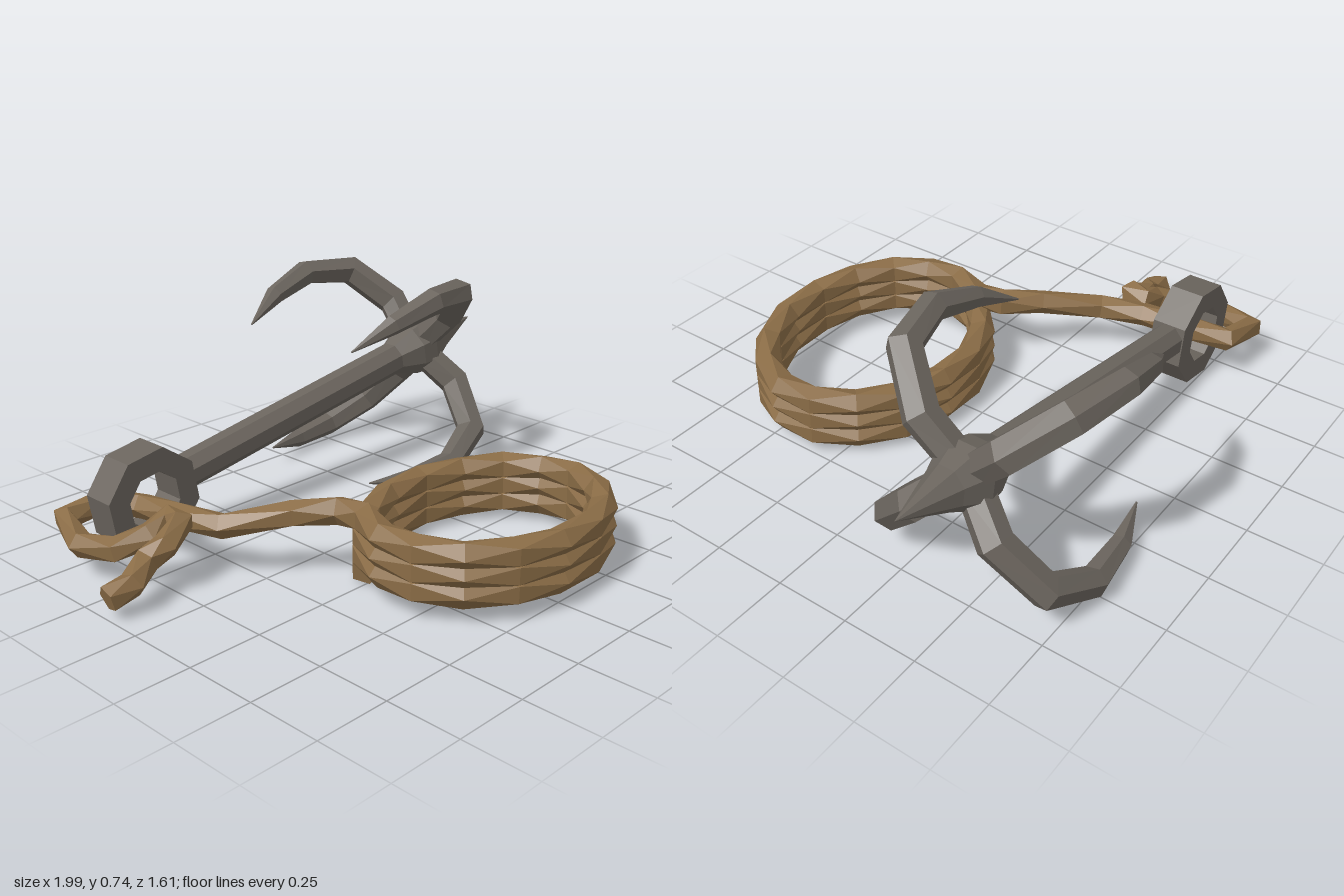
import * as THREE from 'three';

const V = (x, y, z = 0) => new THREE.Vector3(x, y, z);

// Faceted normals
function flat(geometry) {
  const g = geometry.index ? geometry.toNonIndexed() : geometry;
  g.computeVertexNormals();
  return g;
}

// Polygonal tube through the points; every section can be turned by a twist
function loft(points, radii, sides, up, twist = 0) {
  const rings = points.map((p, i) => {
    const a = points[Math.max(i - 1, 0)], c = points[Math.min(i + 1, points.length - 1)];
    const t = c.clone().sub(p).normalize().add(p.clone().sub(a).normalize()).normalize();
    const n = up.clone().cross(t).normalize();
    const b = t.clone().cross(n);
    return Array.from({ length: sides }, (_, j) => {
      const w = (j / sides) * Math.PI * 2 + i * twist;
      return p.clone().addScaledVector(n, Math.cos(w) * radii(i)).addScaledVector(b, Math.sin(w) * radii(i));
    });
  });
  const verts = [];
  const tri = (...corners) => corners.forEach((v) => verts.push(v.x, v.y, v.z));
  const last = rings.length - 1;
  for (let j = 0; j < sides; j++) {
    const k = (j + 1) % sides;
    for (let i = 0; i < last; i++) {
      tri(rings[i][j], rings[i][k], rings[i + 1][j]);
      tri(rings[i][k], rings[i + 1][k], rings[i + 1][j]);
    }
    tri(points[0], rings[0][k], rings[0][j]);
    tri(points[last], rings[last][j], rings[last][k]);
  }
  const g = new THREE.BufferGeometry();
  g.setAttribute('position', new THREE.Float32BufferAttribute(verts, 3));
  return flat(g);
}

function octagon(Type, radius) {
  return new Type(Array.from({ length: 8 }, (_, i) => {
    const a = ((i + 0.5) / 8) * Math.PI * 2;
    return new THREE.Vector2(Math.cos(a) * radius, Math.sin(a) * radius);
  }));
}

export function createModel() {
  const iron = new THREE.MeshStandardMaterial({ color: 0x6b655e });
  iron.name = 'iron';
  const hemp = new THREE.MeshStandardMaterial({ color: 0x8a6c46 });
  hemp.name = 'hemp';

  const model = new THREE.Group();
  model.name = 'grapplingHook';
  const add = (parent, name, geometry, material) => {
    const mesh = new THREE.Mesh(geometry, material);
    mesh.name = name;
    parent.add(mesh);
    return mesh;
  };

  // Iron hook, built along local x and then leaned
  const hook = new THREE.Group();
  hook.name = 'hook';
  hook.position.set(0.69, 0.415, -0.443);
  hook.rotation.z = 0.168;
  model.add(hook);

  // Shaft, hub and spike
  const profile = [[0, -1.2], [0.06, -1.2], [0.061, -0.15], [0.098, -0.06], [0.108, 0], [0.07, 0.09], [0, 0.303]];
  const shaft = new THREE.LatheGeometry(profile.map((p) => new THREE.Vector2(...p)), 8, Math.PI / 8);
  shaft.rotateZ(-Math.PI / 2);
  add(hook, 'shaftAndSpike', flat(shaft), iron);

  // Eye ring
  const eye = octagon(THREE.Shape, 0.18);
  eye.holes.push(octagon(THREE.Path, 0.1));
  const eyeGeometry = new THREE.ExtrudeGeometry(eye, { depth: 0.12, bevelEnabled: false });
  eyeGeometry.translate(-1.335, -0.01, -0.06);
  add(hook, 'eyeRing', flat(eyeGeometry), iron);

  // Four curved prongs
  const prongPath = [V(-0.01, 0.04), V(0.03, 0.2), V(-0.05, 0.39), V(-0.235, 0.455), V(-0.42, 0.425), V(-0.585, 0.36)];
  const prongRadii = [0.055, 0.058, 0.056, 0.048, 0.035, 0.003];
  for (let k = 0; k < 4; k++) {
    const prong = add(hook, 'prong' + (k + 1), loft(prongPath, (i) => prongRadii[i], 6, V(0, 0, 1)), iron);
    prong.rotation.x = Math.PI / 4 + (k * Math.PI) / 2;
  }

  // Rope: tail, knot, loop through the eye, then the lead to the coil
  const path = [
    V(-0.995, 0.062, -0.135), V(-0.91, 0.085, -0.125), V(-0.83, 0.12, -0.165), V(-0.76, 0.15, -0.155),
    V(-0.69, 0.2, -0.17), V(-0.685, 0.195, -0.225), V(-0.76, 0.16, -0.235), V(-0.85, 0.12, -0.29),
    V(-0.89, 0.11, -0.42), V(-0.835, 0.13, -0.585), V(-0.69, 0.15, -0.565), V(-0.65, 0.165, -0.42),
    V(-0.63, 0.17, -0.26), V(-0.58, 0.17, -0.11), V(-0.43, 0.21, 0.05), V(-0.33, 0.222, 0.15),
  ];
  // Coil of three turns
  const perTurn = 16, turns = 3;
  for (let i = 0; i <= perTurn * turns; i++) {
    const a = 3.68 - (i / perTurn) * Math.PI * 2;
    path.push(V(0.05 + Math.cos(a) * 0.425, 0.222 - (0.06 * i) / perTurn, 0.42 + Math.sin(a) * 0.335));
  }
  add(model, 'rope', loft(path, (i) => (i < 15 ? 0.043 : 0.047), 5, V(0, 1, 0), Math.PI / 5), hemp);

  return model;
}
